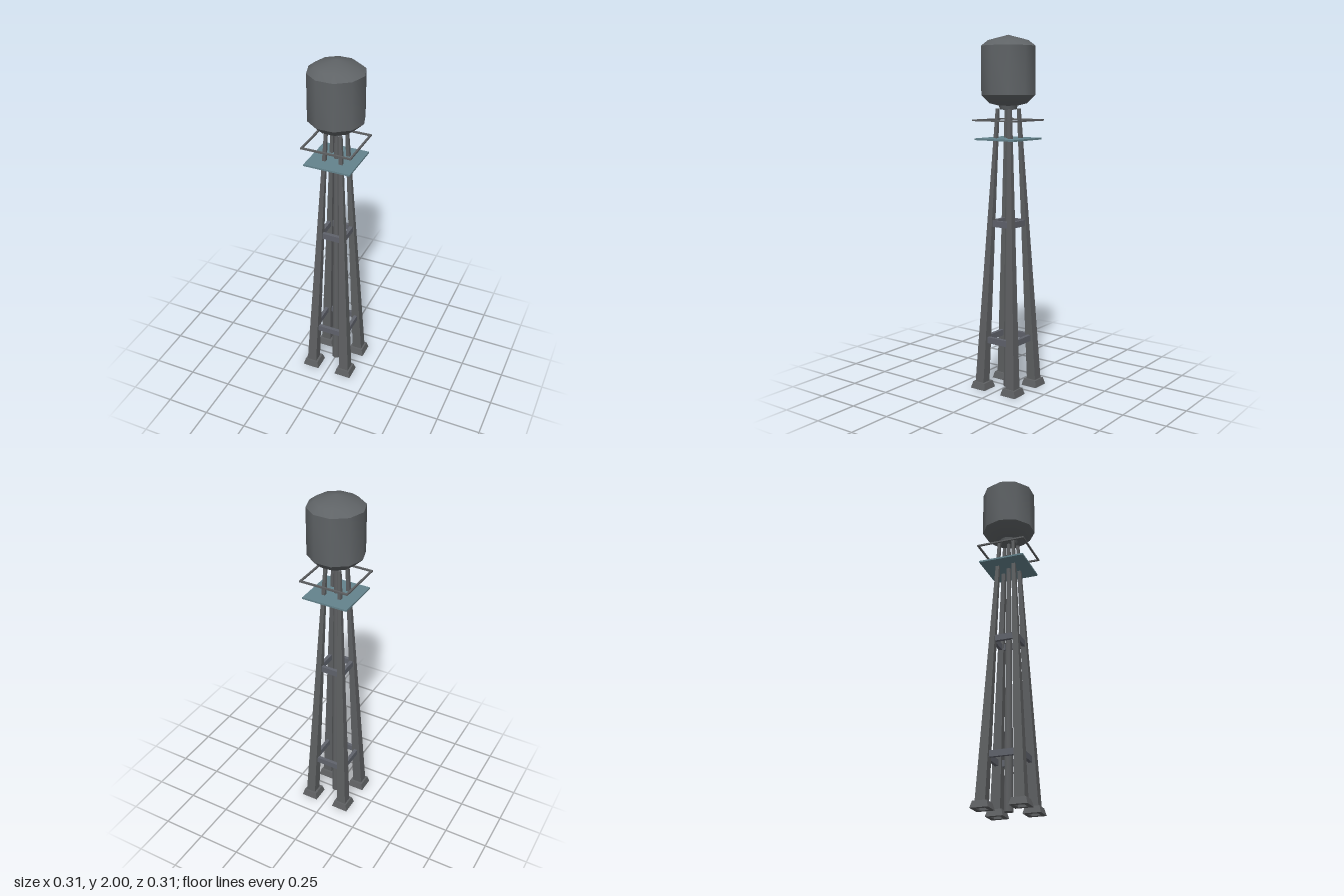
import * as THREE from 'three';
import { toCreasedNormals } from 'three/addons/utils/BufferGeometryUtils.js';

const mat = (name, color) => Object.assign(new THREE.MeshStandardMaterial({ color }), { name });

export function createModel() {
  const tankGrey = mat('tank grey', 0x5f6366);
  const steel = mat('steel', 0x5e6062);
  const braceGrey = mat('brace grey', 0x5f626b);
  const deckTeal = mat('deck teal', 0x64838c);

  const root = new THREE.Group();
  root.name = 'waterTower';

  const add = (name, geometry, material, x = 0, y = 0, z = 0, parent = root) => {
    const mesh = new THREE.Mesh(geometry, material);
    mesh.name = name;
    mesh.position.set(x, y, z);
    parent.add(mesh);
    return mesh;
  };
  const lathe = (points, sides, phase = 0) =>
    new THREE.LatheGeometry(points.map(([r, y]) => new THREE.Vector2(r, y)), sides, phase);

  // Ten-sided tank with shallow domes and a short neck; a corner points along +x
  const tank = lathe([
    [0, 1.595], [0.048, 1.595], [0.054, 1.617], [0.108, 1.63], [0.155, 1.675],
    [0.155, 1.94], [0.115, 1.97], [0, 2],
  ], 10, Math.PI / 2);
  add('tank', toCreasedNormals(tank, 0.68), tankGrey);

  // Tapered central riser pipe
  const pipe = new THREE.CylinderGeometry(0.012, 0.027, 1.6, 8);
  add('riserPipe', toCreasedNormals(pipe, 0.9), steel, 0, 0.8, 0);

  // Legs lean inwards and taper towards the neck
  const legCentre = (y) => 0.108 - 0.066 * (y / 1.6);
  const legHalf = (y) => 0.029 - 0.021 * (y / 1.6);
  const legGeometry = (sx, sz) => {
    const g = new THREE.BoxGeometry(2, 1.57, 2).translate(0, 0.815, 0);
    const p = g.attributes.position;
    for (let i = 0; i < p.count; i++) {
      const y = p.getY(i);
      p.setX(i, sx * legCentre(y) + p.getX(i) * legHalf(y));
      p.setZ(i, sz * legCentre(y) + p.getZ(i) * legHalf(y));
    }
    g.computeVertexNormals();
    return g;
  };

  // Square footing with a recessed underside
  const d = Math.SQRT2;
  const foot = toCreasedNormals(lathe([
    [0, 0.028], [0.026 * d, 0.028], [0.026 * d, 0], [0.05 * d, 0], [0.04 * d, 0.038], [0, 0.038],
  ], 4, Math.PI / 4), 0.2);

  for (const sx of [-1, 1]) {
    for (const sz of [-1, 1]) {
      add('leg', legGeometry(sx, sz), steel);
      add('footing', foot, steel, sx * 0.105, 0, sz * 0.105);
    }
  }

  // Four equal bars closing a square, used for the braces and the railing
  const squareFrame = (name, y, half, height, depth, length, material) => {
    const frame = new THREE.Group();
    frame.name = name;
    frame.position.y = y;
    for (let i = 0; i < 4; i++) {
      const side = new THREE.Group();
      side.rotation.y = i * Math.PI / 2;
      add(name + 'Bar', new THREE.BoxGeometry(length, height, depth), material, 0, 0, half, side);
      frame.add(side);
    }
    root.add(frame);
  };
  for (const y of [0.288, 0.96]) {
    const c = legCentre(y);
    squareFrame('brace', y, c, 0.035, 0.02, 2 * c, braceGrey);
  }

  // Maintenance deck and the rail above it
  add('deck', new THREE.BoxGeometry(0.266, 0.01, 0.266), deckTeal, 0, 1.433, 0);
  squareFrame('railing', 1.537, 0.138, 0.009, 0.01, 0.286, steel);

  return root;
}
